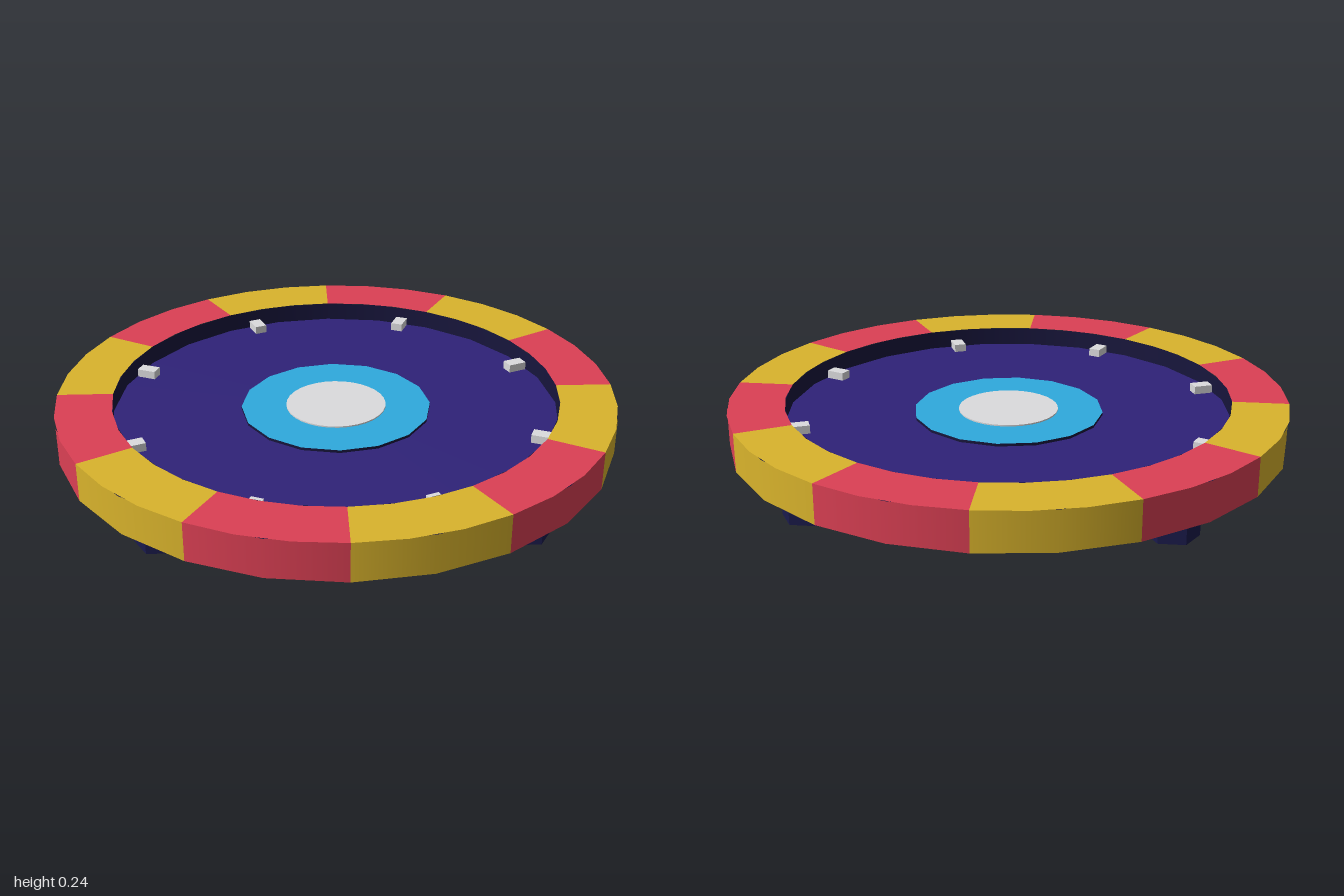
import * as THREE from 'three';
import { mergeGeometries } from 'three/addons/utils/BufferGeometryUtils.js';

const SIDES = 24;
const BOTTOM = 0.1, FLOOR = 0.17, TOP = 0.24;
const INNER = 0.8;

function material(name, color, options = {}) {
  return new THREE.MeshStandardMaterial({ name, color, ...options });
}

export function createModel() {
  const model = new THREE.Group();
  model.name = 'roundArena';

  const gold = material('gold', 0xdab42c);
  const red = material('red', 0xdc4054);
  const purple = material('purple', 0x2f2278);
  const cyan = material('cyan', 0x2eaade);
  const silver = material('silver', 0xdcdcde);
  const dark = material('darkNavy', 0x17153c, { side: THREE.DoubleSide });
  const navy = material('navy', 0x1a1a4c, { flatShading: true });

  function add(name, geometry, mat, x = 0, y = 0, z = 0) {
    const mesh = new THREE.Mesh(geometry, mat);
    mesh.name = name;
    mesh.position.set(x, y, z);
    model.add(mesh);
    return mesh;
  }

  // Rim: twelve alternating segments, each an outer wall and a top face
  const step = Math.PI / 6;
  for (let i = 0; i < 12; i++) {
    const start = i * step;
    const wall = new THREE.CylinderGeometry(1, 1, TOP - BOTTOM, 2, 1, true, start, step);
    wall.translate(0, (TOP + BOTTOM) / 2, 0);
    const cap = new THREE.RingGeometry(INNER, 1, 2, 1, start - Math.PI / 2, step);
    cap.rotateX(-Math.PI / 2).translate(0, TOP, 0);
    add('rimSegment', mergeGeometries([wall, cap]), i % 2 ? red : gold);
  }

  // Dark inner wall, tucked just under the rim, and underside
  const wallRadius = INNER + 0.003, wallTop = TOP - 0.001;
  add('innerWall', new THREE.CylinderGeometry(wallRadius, wallRadius, wallTop - FLOOR, SIDES, 1, true),
    dark, 0, (wallTop + FLOOR) / 2, 0);
  add('underside', new THREE.CircleGeometry(0.998, SIDES).rotateX(Math.PI / 2), dark, 0, BOTTOM, 0);

  // Sunken floor with a dark-edged centre disc and a cap
  add('floor', new THREE.CircleGeometry(wallRadius, SIDES).rotateX(-Math.PI / 2), purple, 0, FLOOR, 0);
  add('centreDisc', new THREE.CylinderGeometry(0.342, 0.342, 0.01, 16), [dark, cyan, cyan], 0, FLOOR + 0.005, 0);
  add('centreCap', new THREE.CylinderGeometry(0.18, 0.18, 0.015, 32), silver, 0, FLOOR + 0.0075, 0);

  // Eight small studs around the floor edge
  for (let i = 0; i < 8; i++) {
    const a = (i + 0.5) * Math.PI / 4;
    const stud = add('stud', new THREE.BoxGeometry(0.045, 0.03, 0.07), silver,
      Math.sin(a) * 0.758, FLOOR + 0.015, Math.cos(a) * 0.758);
    stud.rotation.y = a;
  }

  // Four hexagonal feet
  for (const sx of [-1, 1]) {
    for (const sz of [-1, 1]) {
      const foot = new THREE.CylinderGeometry(0.09, 0.09, BOTTOM, 6).rotateY(Math.PI / 2);
      add('foot', foot, navy, sx * 0.595, BOTTOM / 2, sz * 0.595);
    }
  }
  return model;
}
